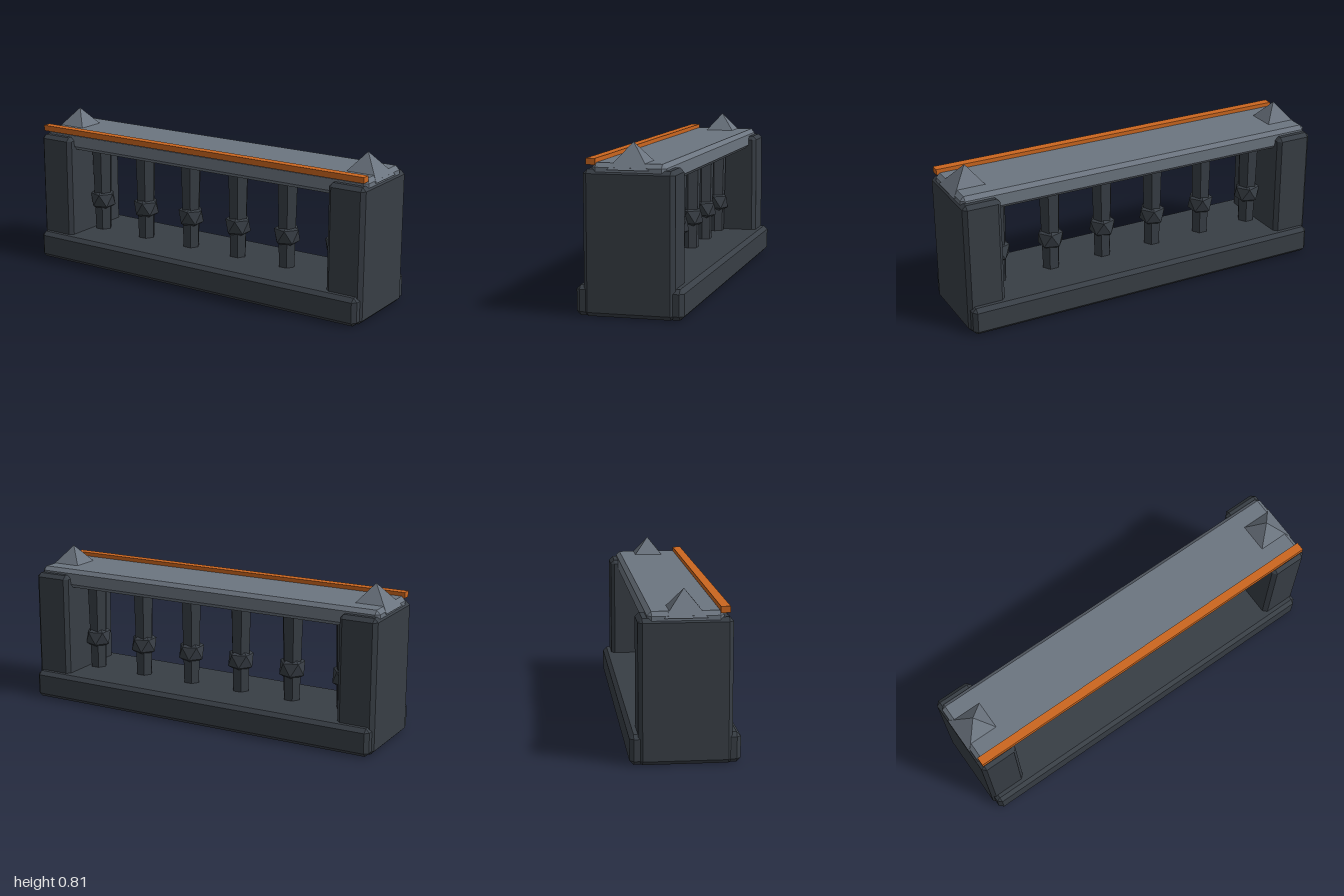
import * as THREE from 'three';
import { ConvexGeometry } from 'three/addons/geometries/ConvexGeometry.js';

const material = (name, color) => {
  const m = new THREE.MeshStandardMaterial({ color });
  m.name = name;
  return m;
};

// Box with a flat chamfer of width c on every edge, given its extents in y
function chamferBox(hx, y0, y1, hz, c) {
  const hy = (y1 - y0) / 2;
  const points = [];
  for (const x of [-1, 1]) for (const y of [-1, 1]) for (const z of [-1, 1]) {
    points.push(
      new THREE.Vector3(x * hx, y * (hy - c), z * (hz - c)),
      new THREE.Vector3(x * (hx - c), y * hy, z * (hz - c)),
      new THREE.Vector3(x * (hx - c), y * (hy - c), z * hz)
    );
  }
  return new ConvexGeometry(points).translate(0, (y0 + y1) / 2, 0);
}

// Icosahedron standing on a corner, with one corner of its upper ring towards +x
function knobGeometry(r) {
  const points = [new THREE.Vector3(0, r, 0), new THREE.Vector3(0, -r, 0)];
  for (let i = 0; i < 5; i++) {
    const a = (i * 2 * Math.PI) / 5;
    const x = 0.894 * r * Math.cos(a);
    const z = 0.894 * r * Math.sin(a);
    points.push(new THREE.Vector3(x, 0.447 * r, z), new THREE.Vector3(-x, -0.447 * r, z));
  }
  return new ConvexGeometry(points);
}

export function createModel() {
  const model = new THREE.Group();
  model.name = 'balustrade';

  const darkStone = material('darkStone', 0x383e45);
  const paleStone = material('paleStone', 0x6c7580);
  const orange = material('orangeTrim', 0xcb661f);
  for (const m of [darkStone, paleStone]) m.flatShading = true;

  const add = (name, geometry, mat, x = 0, y = 0, z = 0, parent = model) => {
    const mesh = new THREE.Mesh(geometry, mat);
    mesh.name = name;
    mesh.position.set(x, y, z);
    parent.add(mesh);
    return mesh;
  };

  // Plinth and top rail
  add('base', chamferBox(0.99, 0, 0.145, 0.26, 0.02), darkStone);
  add('topRail', chamferBox(0.992, 0.62, 0.72, 0.178, 0.02), paleStone);

  // End posts with pyramid caps
  const post = chamferBox(0.1, 0, 0.69, 0.22, 0.02);
  const cap = new THREE.ConeGeometry(0.1 * Math.SQRT2, 0.123, 4, 1, false, Math.PI / 4);
  for (const [side, s] of [['left', 1], ['right', -1]]) {
    add(side + 'Post', post, darkStone, s * 0.9);
    add(side + 'Cap', cap, paleStone, s * 0.9, 0.69 + 0.0615);
  }

  // Row of six-sided balusters, each with a faceted knob
  const shaft = new THREE.CylinderGeometry(0.058, 0.045, 0.5, 6, 1, false, Math.PI / 6);
  const knob = knobGeometry(0.075);
  for (let i = 0; i < 6; i++) {
    const baluster = new THREE.Group();
    baluster.name = 'baluster' + (i + 1);
    baluster.position.x = -0.75 + 0.3 * i;
    add('shaft', shaft, darkStone, 0, 0.38, 0, baluster);
    add('knob', knob, darkStone, 0, 0.313, 0, baluster);
    model.add(baluster);
  }

  // Trim bar along the front edge of the rail
  add('trimBar', new THREE.BoxGeometry(1.976, 0.03, 0.045), orange, 0, 0.725, 0.182);

  return model;
}
